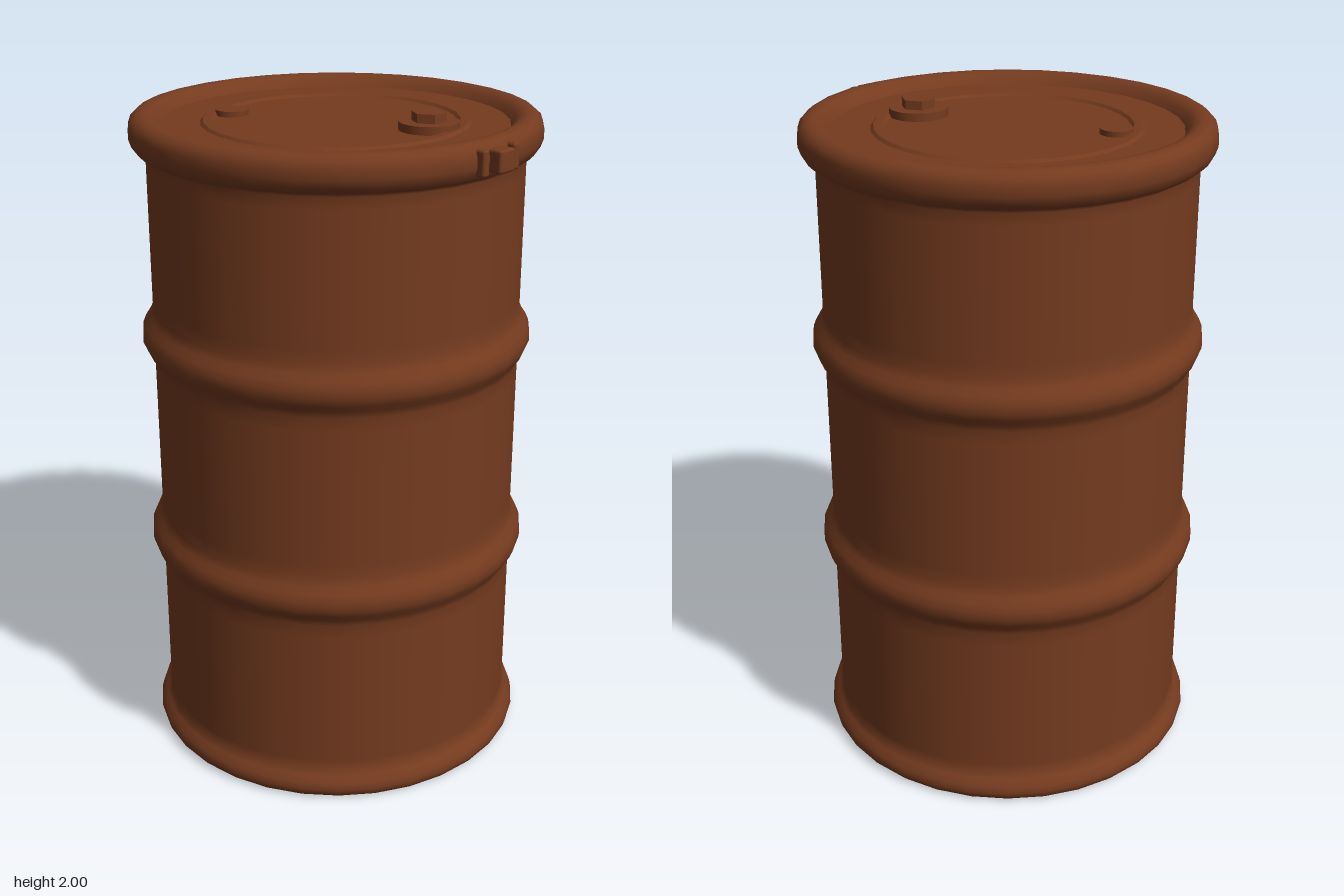
import * as THREE from 'three';
import { RoundedBoxGeometry } from 'three/addons/geometries/RoundedBoxGeometry.js';

const SEGMENTS = 32;
const AXIS_X = -0.018; // drum axis, shifted to make room for the clasp
const BODY_R = 0.553;
const LID_Y = 1.95;
const BOTTOM_Y = 0.08;

export function createModel() {
  const drum = new THREE.Group();
  drum.name = 'drum';
  const rust = new THREE.MeshStandardMaterial({ color: 0x753b1f });
  rust.name = 'rustBrown';

  const add = (name, geometry, x = AXIS_X, y = 0, z = 0) => {
    const mesh = new THREE.Mesh(geometry, rust);
    mesh.name = name;
    mesh.position.set(x, y, z);
    drum.add(mesh);
    return mesh;
  };
  const lathe = (points) =>
    new THREE.LatheGeometry(points.map(([r, y]) => new THREE.Vector2(r, y)), SEGMENTS);

  // Rolled hoop profile centred on height y
  const hoop = (y) => [
    [BODY_R, y - 0.12], [BODY_R, y - 0.078], [0.563, y - 0.055], [0.577, y - 0.035],
    [0.586, y - 0.013], [0.586, y + 0.013], [0.577, y + 0.035], [0.563, y + 0.055],
    [BODY_R, y + 0.078], [BODY_R, y + 0.12],
  ];

  // Wall with foot roll, two hoops and the ring that clamps the lid
  add('body', lathe([
    [0.548, 0.016], [0.553, 0.008], [0.562, 0.005], [0.573, 0.009], [0.582, 0.019],
    [0.587, 0.036], [0.582, 0.056], [0.566, 0.076], [BODY_R, 0.092], [BODY_R, 0.12],
    ...hoop(0.67), ...hoop(1.325),
    [BODY_R, 1.83], [BODY_R, 1.866], [0.561, 1.876], [0.576, 1.882], [0.591, 1.897], [0.599, 1.92],
    [0.599, 1.948], [0.592, 1.968], [0.576, 1.981], [0.556, 1.986], [0.536, 1.982], [0.519, 1.97],
    [0.505, LID_Y],
  ]));

  // Bottom plate, dished up inside the foot roll
  add('bottom', lathe([
    [0, BOTTOM_Y], [0.45, BOTTOM_Y], [0.505, BOTTOM_Y - 0.006], [0.532, BOTTOM_Y - 0.025],
    [0.543, BOTTOM_Y - 0.045], [0.548, 0.016],
  ]));

  // Lid plate with a raised bead
  add('lid', lathe([[0.506, LID_Y], [0, LID_Y]]));
  const bead = [[0.392, LID_Y], [0.384, LID_Y + 0.008], [0.36, LID_Y + 0.008], [0.352, LID_Y]];
  for (let i = 0; i < 3; i++) add('lidBead', lathe([bead[i], bead[i + 1]]));

  // Large bung with hexagonal head, and small vent plug
  const disc = (name, r, bottom, top, x, z, sides) =>
    add(name, new THREE.CylinderGeometry(r, r, top - bottom, sides), x, (top + bottom) / 2, z);
  disc('bungFlange', 0.087, LID_Y - 0.01, 1.974, 0.255, -0.095, 32);
  const head = disc('bungHead', 0.051, 1.965, 2.0, 0.255, -0.095, 6);
  head.geometry = head.geometry.toNonIndexed();
  head.geometry.computeVertexNormals();
  disc('ventPlug', 0.048, LID_Y - 0.01, 1.966, -0.293, 0.155, 24);

  // Clasp on the ring: centre block between two lugs
  add('claspBlock', new RoundedBoxGeometry(0.075, 0.064, 0.062, 2, 0.008), 0.578, 1.934, 0);
  for (const side of [-1, 1]) {
    add('claspLug', new RoundedBoxGeometry(0.06, 0.074, 0.026, 2, 0.008), 0.566, 1.934, side * 0.063);
  }
  return drum;
}
